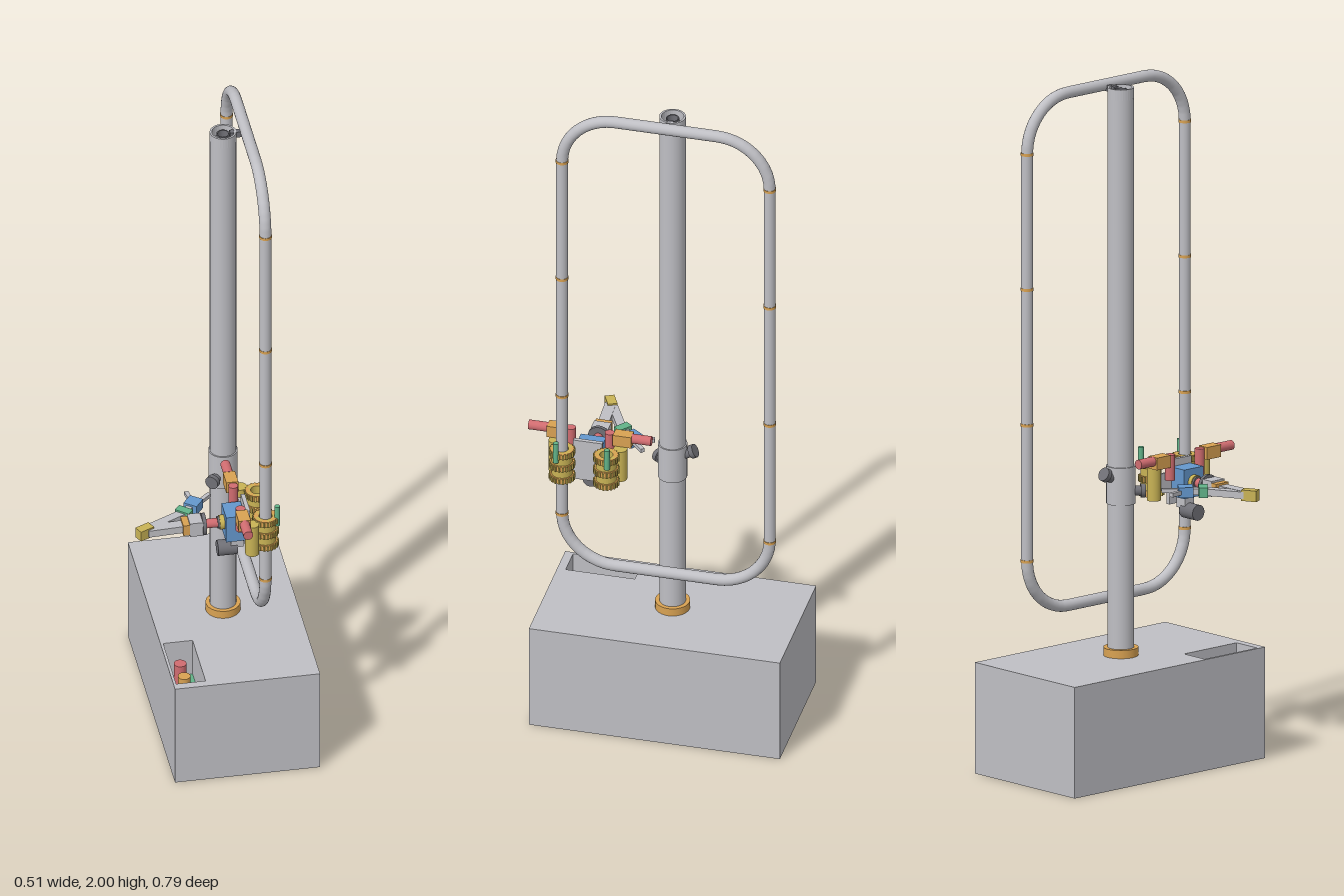
import * as THREE from 'three';

const mat = (name, color) => {
  const m = new THREE.MeshStandardMaterial({ color });
  m.name = name;
  return m;
};

export function createModel() {
  const grey = mat('light grey', 0xbfbfc4);
  const dark = mat('dark grey', 0x707076);
  const orange = mat('orange', 0xd9a252);
  const yellow = mat('yellow', 0xc9b355);
  const red = mat('red', 0xd06c70);
  const green = mat('green', 0x62b389);
  const blue = mat('blue', 0x6497cd);

  const model = new THREE.Group();
  model.name = 'railRobotStation';

  const group = (name, parent = model) => {
    const g = new THREE.Group();
    g.name = name;
    parent.add(g);
    return g;
  };
  const add = (parent, name, geo, m, x = 0, y = 0, z = 0) => {
    const mesh = new THREE.Mesh(geo, m);
    mesh.name = name;
    mesh.position.set(x, y, z);
    parent.add(mesh);
    return mesh;
  };
  const box = (p, name, m, w, h, d, x, y, z, turn = 0) => {
    const b = add(p, name, new THREE.BoxGeometry(w, h, d), m, x, y, z);
    b.rotation.y = turn;
    return b;
  };
  // cylinder along a chosen axis
  const cyl = (p, name, m, r, len, x, y, z, axis = 'y', r2 = r) => {
    const c = add(p, name, new THREE.CylinderGeometry(r2, r, len, 28), m, x, y, z);
    if (axis === 'x') c.rotation.z = -Math.PI / 2;
    if (axis === 'z') c.rotation.x = Math.PI / 2;
    return c;
  };
  // hollow sleeve around the y axis
  const sleeve = (p, name, m, inner, outer, len, x, y, z) => {
    const h = len / 2;
    const pts = [[inner, -h], [outer, -h], [outer, -h], [outer, h], [outer, h], [inner, h], [inner, h], [inner, -h]];
    const geo = new THREE.LatheGeometry(pts.map(a => new THREE.Vector2(...a)), 32).toNonIndexed();
    geo.computeVertexNormals();
    return add(p, name, geo, m, x, y, z);
  };
  // bar between two points in plan
  const link = (p, name, m, x1, z1, x2, z2, w, h, y) =>
    box(p, name, m, Math.hypot(x2 - x1, z2 - z1), h, w, (x1 + x2) / 2, y, (z1 + z2) / 2,
      -Math.atan2(z2 - z1, x2 - x1));

  // base block with an open tray well
  const base = group('base');
  const outline = new THREE.Shape();
  outline.moveTo(-0.165, -0.34).lineTo(0.255, -0.34).lineTo(0.255, 0.397).lineTo(-0.165, 0.397);
  const well = new THREE.Path();
  well.moveTo(-0.157, -0.315).lineTo(-0.157, -0.112).lineTo(-0.072, -0.112).lineTo(-0.072, -0.315);
  outline.holes.push(well);
  const upper = new THREE.ExtrudeGeometry(outline, { depth: 0.125, bevelEnabled: false });
  upper.rotateX(-Math.PI / 2);
  add(base, 'baseUpper', upper, grey, 0, 0.2, 0);
  box(base, 'baseLower', grey, 0.42, 0.2, 0.737, 0.045, 0.1, -0.0285);
  box(base, 'trayFloor', green, 0.085, 0.008, 0.203, -0.1145, 0.204, 0.2135);
  for (const z of [0.15, 0.2135, 0.277])
    cyl(base, 'trayPeg', z === 0.15 ? red : orange, 0.018, 0.07, -0.115, 0.242, z);

  // post with hollow top, foot flange and collar
  const post = group('post');
  post.position.set(0.042, 0, -0.028);
  cyl(post, 'postBody', grey, 0.038, 1.63, 0, 1.14, 0);
  sleeve(post, 'postRim', grey, 0.032, 0.038, 0.032, 0, 1.97, 0);
  sleeve(post, 'postCore', dark, 0.016, 0.019, 0.025, 0, 1.967, 0);
  cyl(post, 'footFlange', orange, 0.05, 0.024, 0, 0.337, 0);
  cyl(post, 'collar', grey, 0.042, 0.11, 0, 0.825, 0);
  [[0, -0.05, 0.855, 0], [-0.032, 0.04, 0.805, -0.65]].forEach(([x, z, y, turn]) => {
    const knob = group('collarKnob', post);
    knob.position.set(x, y, z);
    knob.rotation.y = turn;
    if (z < 0) knob.rotation.x = 0.5;
    cyl(knob, 'knobStem', dark, 0.014, 0.03, 0, 0, 0, 'z');
    cyl(knob, 'knobHead', dark, 0.02, 0.014, 0, 0, z < 0 ? -0.012 : 0.012, 'z');
  });
  box(post, 'railBracket', dark, 0.045, 0.018, 0.016, 0.042, 1.975, 0);

  // closed rounded rectangular rail
  const rail = group('rail');
  const path = new THREE.CurvePath();
  const R = 0.155, z0 = -0.33, z1 = 0.28, y0 = 0.482, y1 = 1.982, X = 0.108;
  const v = (z, y) => new THREE.Vector3(X, y, z);
  const points = [];
  [[z1 - R, y1 - R, 0], [z0 + R, y1 - R, 1], [z0 + R, y0 + R, 2], [z1 - R, y0 + R, 3]].forEach(([cz, cy, q]) => {
    for (let i = 0; i <= 10; i++) {
      const a = (q + i / 10) * Math.PI / 2;
      points.push(v(cz + R * Math.cos(a), cy + R * Math.sin(a)));
    }
  });
  points.forEach((p, i) => path.add(new THREE.LineCurve3(p, points[(i + 1) % points.length])));
  add(rail, 'railTube', new THREE.TubeGeometry(path, 360, 0.017, 18, true), grey);
  for (const z of [z0, z1])
    for (const y of [0.637, 1.035, 1.432, 1.827])
      cyl(rail, 'railJoint', orange, 0.0182, 0.008, X, y, z);

  // carriage riding on the rail
  const carriage = group('carriage');
  box(carriage, 'backPlate', grey, 0.012, 0.13, 0.085, 0.062, 0.795, 0.215);
  box(carriage, 'tieBar', grey, 0.008, 0.05, 0.16, 0.058, 0.8, 0.215);
  box(carriage, 'controlBox', blue, 0.055, 0.085, 0.074, 0.027, 0.797, 0.215);
  cyl(carriage, 'lowerMotor', dark, 0.023, 0.056, 0.008, 0.712, 0.215, 'x');
  box(carriage, 'motorNeck', grey, 0.035, 0.04, 0.035, 0.035, 0.74, 0.215);

  // mirrored clamp units
  for (const s of [-1, 1]) {
    const clamp = group(s > 0 ? 'frontClamp' : 'rearClamp', carriage);
    const at = d => 0.215 + s * d;
    sleeve(clamp, 'clampSleeve', yellow, 0.019, 0.03, 0.1, X, 0.803, at(0.065));
    for (const y of [0.762, 0.803, 0.844]) {
      sleeve(clamp, 'clampBand', orange, 0.02, 0.034, 0.018, X, y, at(0.065));
      for (let i = 0; i < 20; i++) {
        const a = i * Math.PI / 10;
        box(clamp, 'clampTooth', yellow, 0.006, 0.016, 0.005,
          X + 0.035 * Math.cos(a), y, at(0.065) + 0.035 * Math.sin(a), -a);
      }
    }
    cyl(clamp, 'hinge', yellow, 0.02, 0.1, 0.064, 0.8, at(0.095));
    cyl(clamp, 'clampMotor', red, 0.014, 0.058, 0.037, 0.872, at(0.151), 'z');
    box(clamp, 'gearbox', orange, 0.035, 0.036, 0.054, 0.037, 0.867, at(0.097));
    cyl(clamp, 'gearShaft', red, 0.014, 0.075, 0.037, 0.845, at(0.057));
    cyl(clamp, 'lockPin', green, 0.008, 0.065, 0.14, 0.857, at(0.075));
  }

  // folded arm reaching out to the side
  const arm = group('arm');
  const Y = 0.8;
  cyl(arm, 'shoulderFlange', yellow, 0.021, 0.014, -0.007, Y, 0.214, 'x');
  cyl(arm, 'shoulderRing', dark, 0.018, 0.008, -0.016, Y, 0.214, 'x');
  cyl(arm, 'shoulderMotor', red, 0.0135, 0.042, -0.036, Y, 0.214, 'x');
  cyl(arm, 'shoulderDisc', dark, 0.032, 0.011, -0.06, Y, 0.214, 'x');
  box(arm, 'shoulderBlock', grey, 0.04, 0.045, 0.05, -0.083, Y, 0.214);
  box(arm, 'shoulderJoint', orange, 0.024, 0.034, 0.048, -0.11, Y, 0.214);
  link(arm, 'upperArm', grey, -0.1, 0.215, -0.222, 0.221, 0.032, 0.022, Y);
  box(arm, 'elbow', yellow, 0.046, 0.032, 0.028, -0.231, Y, 0.222, 0.45);
  link(arm, 'forearm', grey, -0.218, 0.214, -0.105, 0.157, 0.026, 0.02, Y);
  box(arm, 'wristJoint', green, 0.045, 0.03, 0.026, -0.105, Y, 0.155, -0.7);
  link(arm, 'wristLink', grey, -0.105, 0.155, -0.072, 0.12, 0.02, 0.018, Y);
  box(arm, 'gripperBody', blue, 0.042, 0.03, 0.042, -0.071, Y, 0.118, -0.65);
  link(arm, 'gripperFinger', grey, -0.073, 0.1, -0.08, 0.055, 0.012, 0.012, Y);
  link(arm, 'gripperFinger', grey, -0.055, 0.11, -0.017, 0.075, 0.012, 0.012, Y);

  return model;
}
